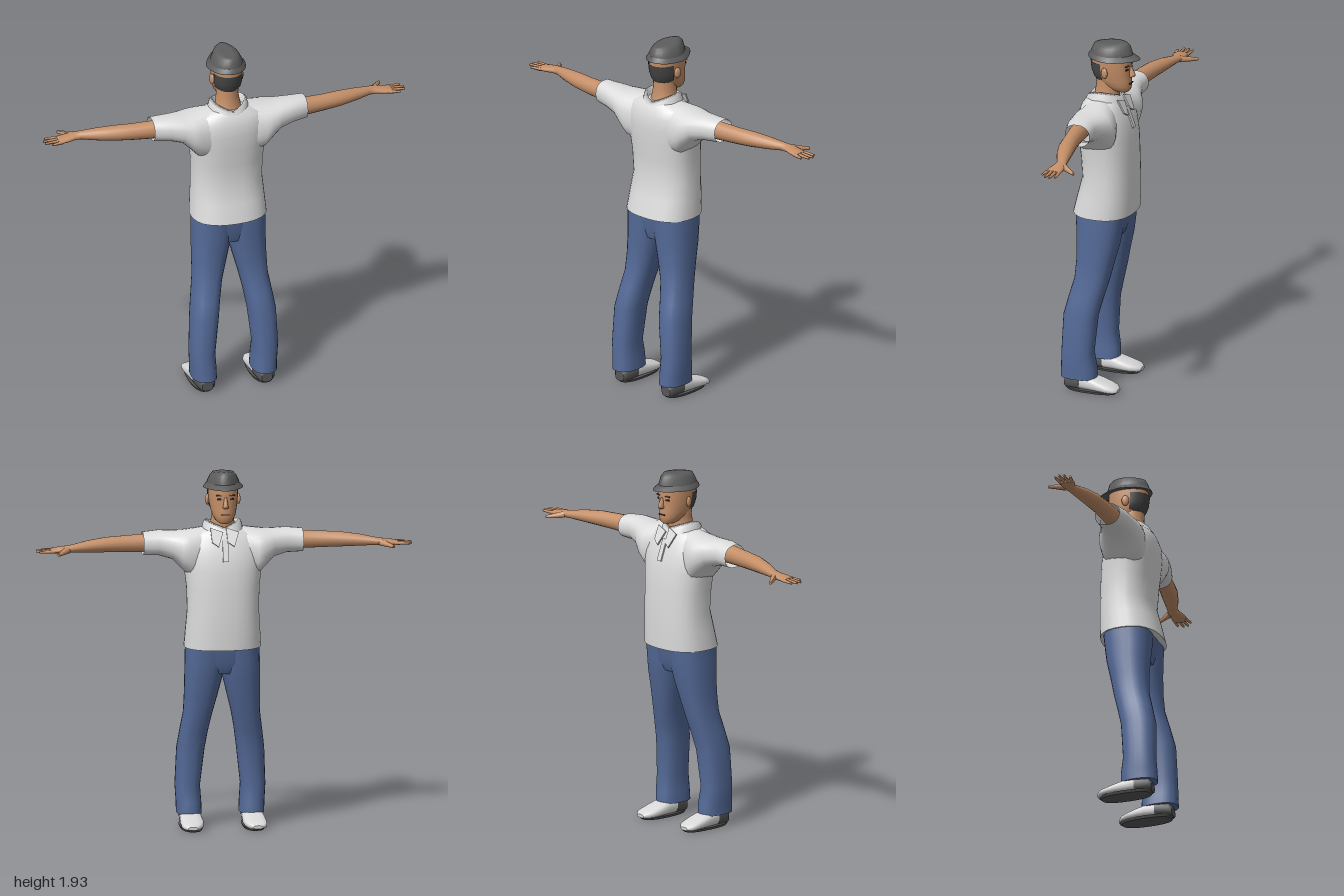
import * as THREE from 'three';

const mat = (name, color, side = THREE.FrontSide) => {
  const m = new THREE.MeshStandardMaterial({ color, side });
  m.name = name;
  return m;
};

// Skin a row of rounded rings. Each ring is [t, u0, u1, v0, v1] along an axis:
// y -> (u,v) = (x,z), x -> (y,z), z -> (x,y)
function loft(axis, rings, { n = 24, power = 2, from = 0, to = 360, caps = true, tweak } = {}) {
  const pos = [], idx = [];
  const flip = (axis !== 'y') !== (rings[rings.length - 1][0] < rings[0][0]);
  const closed = to - from === 360, count = closed ? n : n + 1;
  const push = (t, u, v) => {
    const p = axis === 'y' ? [u, t, v] : axis === 'x' ? [t, u, v] : [u, v, t];
    pos.push(...(tweak ? tweak(...p) : p));
  };
  const tri = (a, b, c) => idx.push(...(flip ? [a, c, b] : [a, b, c]));
  const addRing = ([t, u0, u1, v0, v1]) => {
    for (let i = 0; i < count; i++) {
      const a = THREE.MathUtils.degToRad(from + (to - from) * i / n);
      const round = (s) => Math.sign(s) * Math.pow(Math.abs(s), 2 / power);
      push(t, (u0 + u1) / 2 + (u1 - u0) / 2 * round(Math.cos(a)), (v0 + v1) / 2 + (v1 - v0) / 2 * round(Math.sin(a)));
    }
  };
  rings.forEach(addRing);
  for (let r = 0; r < rings.length - 1; r++) {
    for (let i = 0; i < n; i++) {
      const a = r * count + i, b = r * count + (i + 1) % count;
      tri(a, a + count, b);
      tri(b, a + count, b + count);
    }
  }
  if (caps && closed) {
    [rings[0], rings[rings.length - 1]].forEach((ring, end) => {
      const s = pos.length / 3;
      addRing(ring);
      push(ring[0], (ring[1] + ring[2]) / 2, (ring[3] + ring[4]) / 2);
      for (let i = 0; i < n; i++) {
        const j = (i + 1) % n;
        if (end) tri(s + j, s + i, s + n); else tri(s + i, s + j, s + n);
      }
    });
  }
  const g = new THREE.BufferGeometry();
  g.setAttribute('position', new THREE.Float32BufferAttribute(pos, 3));
  g.setIndex(idx);
  g.computeVertexNormals();
  return g;
}

function mirrored(geometry) {
  const g = geometry.clone().scale(-1, 1, 1);
  const ix = g.index.array;
  for (let i = 0; i < ix.length; i += 3) [ix[i], ix[i + 1]] = [ix[i + 1], ix[i]];
  g.computeVertexNormals();
  return g;
}

// Tapered rod between two points
function rod(a, b, r0, r1) {
  const p = new THREE.Vector3(...a), q = new THREE.Vector3(...b), d = q.clone().sub(p);
  const g = new THREE.CylinderGeometry(r1, r0, d.length(), 8);
  g.applyQuaternion(new THREE.Quaternion().setFromUnitVectors(new THREE.Vector3(0, 1, 0), d.normalize()));
  return g.translate(...p.add(q).multiplyScalar(0.5).toArray());
}

export function createModel() {
  const root = new THREE.Group();
  root.name = 'standingMan';
  const skin = mat('skin', 0xc48f68), cloth = mat('shirtWhite', 0xdcdcdc, THREE.DoubleSide);
  const denim = mat('denim', 0x546a98), felt = mat('hatGrey', 0x5c5c5c, THREE.DoubleSide);
  const hairMat = mat('hairDark', 0x464646, THREE.DoubleSide), shoeMat = mat('shoeWhite', 0xd8d8d8);
  const soleMat = mat('soleGrey', 0x565656), dark = mat('faceDark', 0x3a2a22);
  const add = (name, geometry, material) => {
    const m = new THREE.Mesh(geometry, material);
    m.name = name;
    root.add(m);
  };
  const pair = (name, g, material) => {
    add(name + 'Left', g, material);
    add(name + 'Right', mirrored(g), material);
  };

  // Trousers
  add('trouserSeat', loft('y', [[0.84, -0.12, 0.12, -0.09, 0.1], [0.9, -0.18, 0.18, -0.118, 0.118],
    [1.0, -0.195, 0.195, -0.132, 0.13]], { power: 2.5 }), denim);
  pair('trouserLeg', loft('y', [[0.07, 0.1, 0.232, -0.01, 0.19], [0.13, 0.102, 0.234, -0.008, 0.187],
    [0.22, 0.108, 0.24, 0.006, 0.182], [0.42, 0.085, 0.232, -0.01, 0.176], [0.52, 0.07, 0.218, -0.035, 0.152],
    [0.62, 0.05, 0.203, -0.062, 0.126], [0.72, 0.024, 0.2, -0.084, 0.12], [0.82, 0, 0.199, -0.108, 0.122],
    [0.9, -0.015, 0.198, -0.12, 0.127], [0.99, -0.02, 0.196, -0.13, 0.13]], { power: 2.4 }), denim);

  // Shoes: white toe, grey heel and sole
  pair('shoeUpper', loft('z', [[0.075, 0.11, 0.22, 0.008, 0.095], [0.02, 0.107, 0.224, 0.008, 0.088],
    [-0.03, 0.104, 0.228, 0.008, 0.072], [-0.08, 0.108, 0.228, 0.008, 0.056], [-0.115, 0.122, 0.222, 0.008, 0.045],
    [-0.135, 0.148, 0.198, 0.012, 0.03]], { power: 2.6 }), shoeMat);
  pair('shoeHeel', loft('z', [[0.165, 0.135, 0.195, 0.008, 0.06], [0.15, 0.118, 0.212, 0.006, 0.085],
    [0.075, 0.109, 0.221, 0.006, 0.096]], { power: 2.6 }), soleMat);
  pair('shoeSole', loft('y', [[0, 0.112, 0.22, -0.12, 0.155], [0.014, 0.106, 0.226, -0.132, 0.165]], { power: 2.5 }), soleMat);

  // Shirt body, sleeves and collar
  add('shirtBody', loft('y', [[0.978, -0.204, 0.204, -0.165, 0.163], [1.08, -0.197, 0.197, -0.168, 0.138],
    [1.18, -0.19, 0.19, -0.167, 0.112], [1.3, -0.193, 0.193, -0.163, 0.12], [1.4, -0.205, 0.205, -0.156, 0.13],
    [1.48, -0.215, 0.215, -0.14, 0.135], [1.54, -0.205, 0.205, -0.118, 0.131], [1.585, -0.175, 0.175, -0.095, 0.115],
    [1.612, -0.105, 0.105, -0.075, 0.095]], { n: 32, power: 2.4 }), cloth);
  pair('sleeve', loft('x', [[0.1, 1.33, 1.618, -0.1, 0.11], [0.18, 1.355, 1.607, -0.122, 0.126],
    [0.22, 1.4, 1.602, -0.118, 0.122], [0.27, 1.45, 1.6, -0.09, 0.108], [0.34, 1.47, 1.603, -0.068, 0.092],
    [0.425, 1.475, 1.597, -0.068, 0.068]], { power: 2.3, caps: false }), cloth);
  const raise = (x, y, z) => [x, y + 0.4 * Math.abs(x) * (y > 1.59 ? 1 : 0.4) - (z > 0 ? 0.1 * z : 0), z];
  add('collar', loft('y', [[1.56, -0.115, 0.115, -0.115, 0.12], [1.61, -0.1, 0.1, -0.09, 0.105],
    [1.625, -0.085, 0.085, -0.08, 0.09], [1.58, -0.078, 0.078, -0.068, 0.075]], { caps: false, tweak: raise }), cloth);
  const flap = new THREE.ExtrudeGeometry(new THREE.Shape([[0.008, 0.06], [0.075, 0.085], [0.07, 0.005], [0.035, -0.02]]
    .map(([x, y]) => new THREE.Vector2(x, y))), { depth: 0.008, bevelEnabled: false });
  flap.rotateX(0.45).translate(0, 1.55, -0.13);
  add('collarFlapLeft', flap, cloth);
  add('collarFlapRight', flap.clone().rotateY(Math.PI).rotateX(-0.9).translate(0, 0, 0).copy(flap).translate(-0.083, 0, 0), cloth);
  add('placket', new THREE.BoxGeometry(0.03, 0.12, 0.008).rotateX(0.35).translate(0, 1.51, -0.135), cloth);

  // Arms and hands
  pair('arm', loft('x', [[0.3, 1.487, 1.59, -0.035, 0.065], [0.42, 1.488, 1.585, -0.035, 0.055],
    [0.53, 1.492, 1.58, -0.045, 0.042], [0.62, 1.496, 1.577, -0.062, 0.03], [0.72, 1.502, 1.566, -0.078, 0],
    [0.8, 1.508, 1.552, -0.09, -0.035], [0.835, 1.508, 1.546, -0.1, -0.035], [0.88, 1.507, 1.54, -0.102, -0.022],
    [0.925, 1.508, 1.53, -0.1, -0.018]], { n: 16 }), skin);
  [[-0.09, 0.985, -0.097], [-0.07, 1, -0.07], [-0.05, 0.997, -0.044], [-0.03, 0.965, -0.018]].forEach(([z, tip, zt], i) =>
    pair('finger' + (i + 1), rod([0.905, 1.52, z], [tip, 1.519, zt], 0.0105, 0.006), skin));
  pair('thumb', rod([0.835, 1.525, -0.085], [0.892, 1.514, -0.163], 0.019, 0.008), skin);

  // Neck and head
  add('neck', loft('y', [[1.56, -0.085, 0.085, -0.07, 0.085], [1.62, -0.068, 0.068, -0.07, 0.066],
    [1.68, -0.058, 0.058, -0.075, 0.056], [1.76, -0.06, 0.06, -0.07, 0.06]]), skin);
  add('head', loft('y', [[1.652, -0.028, 0.028, -0.122, -0.05], [1.665, -0.045, 0.045, -0.134, -0.02],
    [1.69, -0.06, 0.06, -0.139, 0.02], [1.72, -0.068, 0.068, -0.138, 0.055], [1.76, -0.075, 0.075, -0.135, 0.074],
    [1.81, -0.079, 0.079, -0.136, 0.081], [1.86, -0.078, 0.078, -0.132, 0.078]], { power: 2.2 }), skin);
  add('nose', loft('y', [[1.735, -0.008, 0.008, -0.145, -0.12], [1.742, -0.017, 0.017, -0.161, -0.12],
    [1.755, -0.013, 0.013, -0.162, -0.12], [1.795, -0.007, 0.007, -0.142, -0.12]], { n: 10 }), skin);
  pair('ear', new THREE.SphereGeometry(1, 12, 8).scale(0.011, 0.03, 0.02).rotateY(-0.3).translate(0.082, 1.768, -0.018), skin);
  add('hair', loft('y', [[1.712, -0.055, 0.055, -0.11, 0.056], [1.73, -0.075, 0.075, -0.125, 0.066],
    [1.765, -0.08, 0.08, -0.13, 0.08], [1.815, -0.083, 0.083, -0.134, 0.086]], { from: 15, to: 165, power: 2.2 }), hairMat);

  // Face details
  pair('eye', new THREE.BoxGeometry(0.022, 0.009, 0.006).rotateY(-0.25).translate(0.033, 1.785, -0.128), dark);
  pair('eyebrow', new THREE.BoxGeometry(0.03, 0.006, 0.008).rotateY(-0.25).translate(0.034, 1.805, -0.129), hairMat);
  add('mouth', new THREE.BoxGeometry(0.042, 0.006, 0.009).translate(0, 1.703, -0.137), dark);

  // Hat: crown pinched to a front ridge, brim narrowing forwards
  const narrow = (x, z) => x * (1 - 0.4 * THREE.MathUtils.clamp((-z - 0.05) / 0.14, 0, 1));
  add('hatCrown', loft('y', [[1.842, -0.09, 0.09, -0.15, 0.09], [1.87, -0.084, 0.084, -0.145, 0.085],
    [1.905, -0.07, 0.07, -0.132, 0.077], [1.922, -0.055, 0.055, -0.115, 0.068], [1.925, -0.03, 0.03, -0.095, 0.05]],
  { tweak: (x, y, z) => [narrow(x, z), y - (y > 1.88 ? 0.1 * (z + 0.09) : 0), z] }), felt);
  add('hatBrim', loft('y', [[1.836, -0.106, 0.106, -0.188, 0.1], [1.842, -0.104, 0.104, -0.186, 0.1],
    [1.862, -0.084, 0.084, -0.146, 0.086]], { n: 32, tweak: (x, y, z) => [narrow(x, z), y + 0.06 * Math.max(0, Math.abs(z + 0.04) - 0.1), z] }), felt);
  return root;
}
